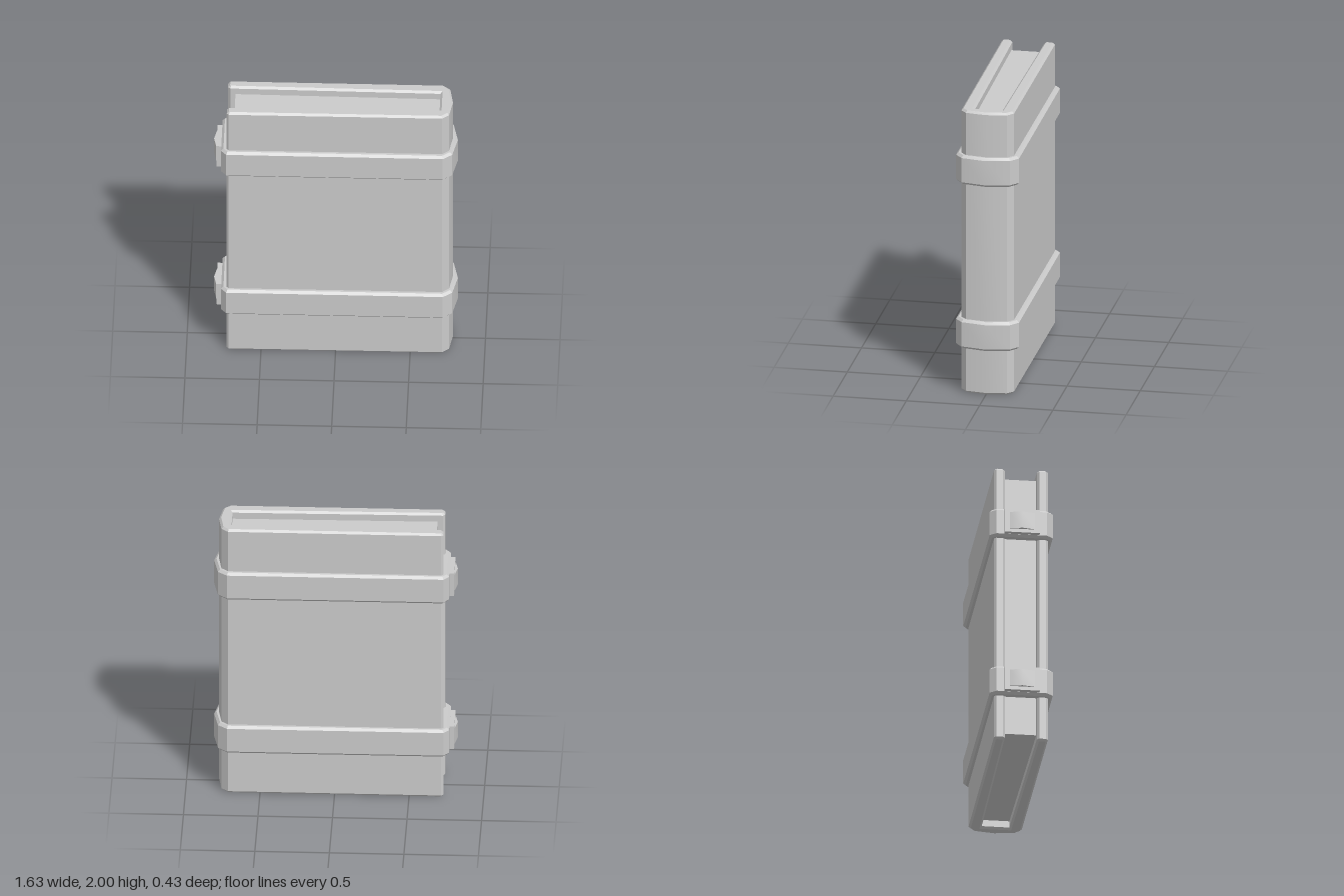
import * as THREE from 'three';
import { toCreasedNormals } from 'three/addons/utils/BufferGeometryUtils.js';

const BEVEL = 0.014;
const material = new THREE.MeshStandardMaterial({ color: 0xcccccc });

// Close a half outline (x, z >= 0) by mirroring it across z = 0
function mirrored(half) {
  const back = half.filter(([, z]) => z > 0).reverse().map(([x, z]) => [x, -z]);
  return [...half, ...back].map(([x, z]) => new THREE.Vector2(x, z));
}

// Upright prism from a plan outline, with optional hole and bevelled rims
function prism(name, half, y0, y1, { hole, bevel = 0 } = {}) {
  const shape = new THREE.Shape(mirrored(half));
  if (hole) shape.holes.push(new THREE.Path(mirrored(hole)));
  const geometry = new THREE.ExtrudeGeometry(shape, {
    depth: y1 - y0 - 2 * bevel,
    bevelEnabled: bevel > 0,
    bevelThickness: bevel,
    bevelSize: bevel,
    bevelOffset: -bevel,
    bevelSegments: 1,
  });
  geometry.rotateX(-Math.PI / 2).translate(0, y0 + bevel, 0);
  const mesh = new THREE.Mesh(toCreasedNormals(geometry, 0.4), material);
  mesh.name = name;
  return mesh;
}

export function createModel() {
  const book = new THREE.Group();
  book.name = 'strappedBook';

  // U-shaped cover, open at the fore edge, with a faceted spine
  const cover = [
    [0.695, 0], [0.695, 0.093], [-0.715, 0.108], [-0.73, 0.122], [-0.73, 0.168],
    [-0.716, 0.182], [0.715, 0.18], [0.76, 0.14], [0.782, 0],
  ];
  // The U outline runs from the inner spine round one board to the outer spine, and back
  const far = cover.slice(1, -1).reverse().map(([x, z]) => [x, -z]);
  const outline = [...cover.slice(1), ...far].map(([x, z]) => new THREE.Vector2(x, z));
  const coverGeometry = new THREE.ExtrudeGeometry(new THREE.Shape(outline), {
    depth: 2 - 2 * BEVEL, bevelThickness: BEVEL, bevelSize: BEVEL, bevelOffset: -BEVEL, bevelSegments: 1,
  });
  coverGeometry.rotateX(-Math.PI / 2).translate(0, BEVEL, 0);
  const coverMesh = new THREE.Mesh(toCreasedNormals(coverGeometry, 0.4), material);
  coverMesh.name = 'cover';
  book.add(coverMesh);

  // Page block, set back from the cover's edges
  book.add(prism('pages', [[-0.68, 0.112], [0.7, 0.098]], 0.06, 1.94));

  // Two straps, each with a clasp at the fore edge
  const strapOuter = [[-0.768, 0.17], [-0.732, 0.213], [0.72, 0.215], [0.782, 0.165], [0.815, 0]];
  const strapInner = [[-0.73, 0.155], [-0.71, 0.175], [0.71, 0.173], [0.752, 0.135], [0.774, 0]];
  for (const [label, y] of [['lower', 0.42], ['upper', 1.585]]) {
    const strap = new THREE.Group();
    strap.name = `${label}Strap`;
    strap.add(
      prism('band', strapOuter, y - 0.102, y + 0.102, { hole: strapInner, bevel: 0.016 }),
      prism('claspPlate', [[-0.8, 0.118], [-0.76, 0.118]], y - 0.085, y + 0.085),
      prism('claspButton', [[-0.82, 0], [-0.803, 0.085], [-0.79, 0.085]], y - 0.06, y + 0.06),
    );
    book.add(strap);
  }
  return book;
}
